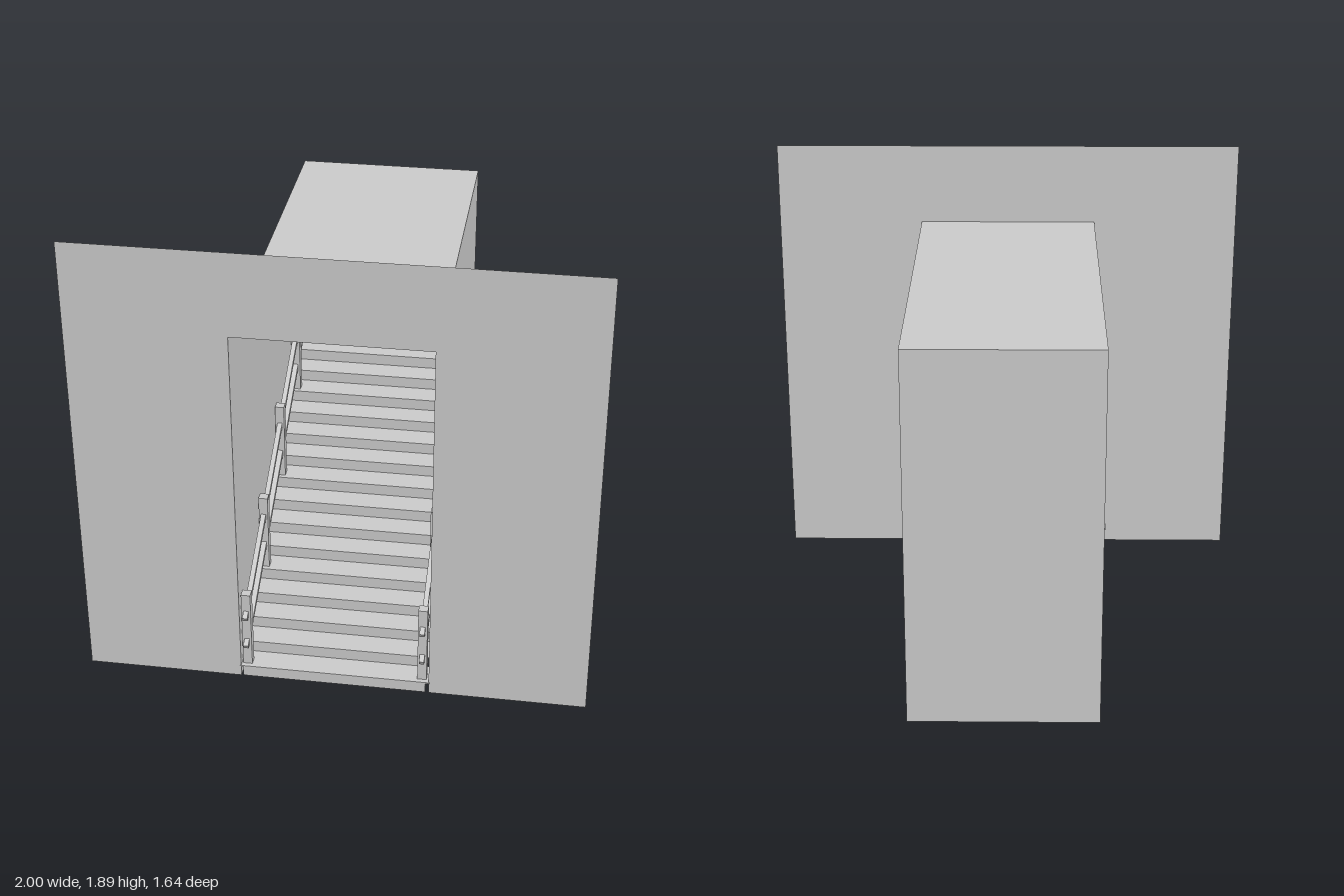
import * as THREE from 'three';

export function createModel() {
  const model = new THREE.Group();
  const solid = new THREE.MeshStandardMaterial({ color: 0xcccccc, flatShading: true });
  const sheet = new THREE.MeshStandardMaterial({ color: 0xcccccc, flatShading: true, side: THREE.DoubleSide });

  const add = (name, geometry, material, x, y, z) => {
    const mesh = new THREE.Mesh(geometry, material);
    mesh.name = name;
    mesh.position.set(x, y, z);
    model.add(mesh);
    return mesh;
  };
  const box = (name, w, h, d, x, y, z) => add(name, new THREE.BoxGeometry(w, h, d), solid, x, y, z);

  const FRONT = 0.805, BACK = -0.818, LEFT = 0.377, RIGHT = -0.38, TOP = 1.55;
  const RISE = 0.0505, RUN = 0.097, STEPS = 16;
  const width = LEFT - RIGHT, depth = FRONT - BACK;
  const midX = (LEFT + RIGHT) / 2, midZ = (FRONT + BACK) / 2;

  // Front wall: one flat sheet with a doorway cut up from the ground
  const wall = new THREE.Shape([
    [-1, 0], [RIGHT, 0], [RIGHT, TOP], [LEFT, TOP], [LEFT, 0], [1, 0], [1, 1.89], [-1, 1.89],
  ].map(([x, y]) => new THREE.Vector2(x, y)));
  add('frontWall', new THREE.ShapeGeometry(wall), sheet, 0, 0, FRONT);

  // Stairwell enclosure, open at the doorway and underneath
  for (const [name, x] of [['leftWall', LEFT], ['rightWall', RIGHT]]) {
    add(name, new THREE.PlaneGeometry(depth, TOP), sheet, x, TOP / 2, midZ)
      .rotation.y = Math.sign(x) * Math.PI / 2;
  }
  add('backWall', new THREE.PlaneGeometry(width, TOP), sheet, midX, TOP / 2, BACK).rotation.y = Math.PI;
  add('ceiling', new THREE.PlaneGeometry(width, depth), sheet, midX, TOP, midZ).rotation.x = -Math.PI / 2;

  // Stairs: thin treads whose ends pass through the side walls, and narrower risers
  for (let i = 0; i < STEPS; i++) {
    const z = FRONT - i * RUN;
    box('tread', 0.767, 0.006, RUN + 0.005, -0.0035, (i + 1) * RISE - 0.003, z - RUN / 2);
    box('riser', 0.735, RISE - 0.006, 0.006, -0.004, (i + 0.5) * RISE - 0.003, z - 0.004);
  }

  // Handrails on both sides: posts on every fourth step and the last one
  const slope = Math.atan2(RISE, RUN);
  const railFront = 0.813, railBack = -0.715;
  const railRun = railFront - railBack;
  for (const x of [-0.356, 0.348]) {
    for (const step of [0, 4, 8, 12, 15]) {
      box('railPost', 0.037, 0.335, 0.037, x, (step + 1) * RISE + 0.1675, 0.77 - step * RUN);
    }
    for (const y of [0.15, 0.285]) {
      const rail = box(y > 0.2 ? 'upperRail' : 'lowerRail', 0.02, 0.02, railRun / Math.cos(slope),
        x, y + railRun / 2 * Math.tan(slope), (railFront + railBack) / 2);
      rail.rotation.x = slope;
    }
  }

  return model;
}
